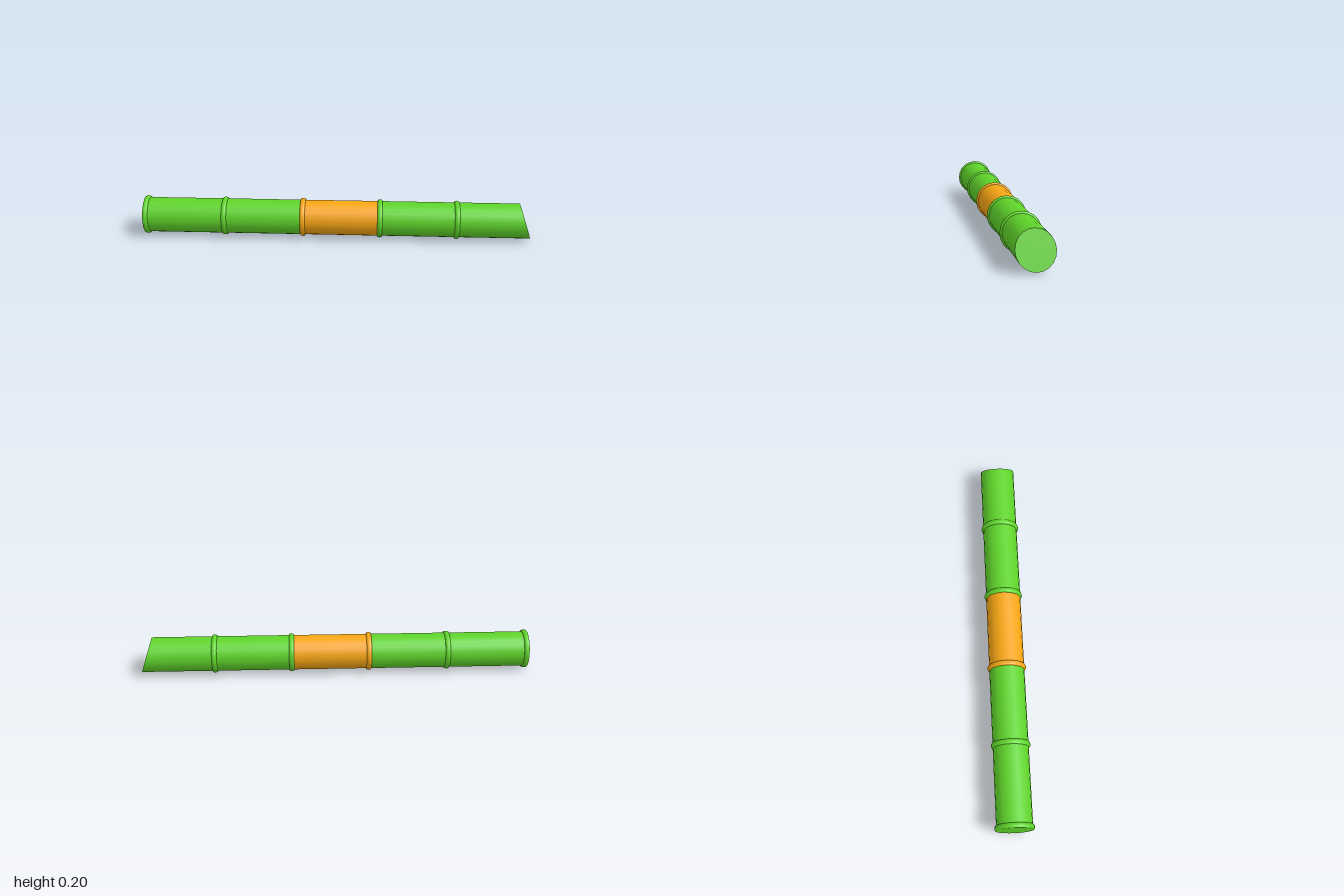
import * as THREE from 'three';

const SIDES = 20, R = 0.09, RING_R = 0.099, RING_W = 0.026, AXIS_Y = 0.1;
const CUT_TOP = 0.94, CUT_BOTTOM = 1;

const green = new THREE.MeshStandardMaterial({ color: 0x5fd42a });
const orange = new THREE.MeshStandardMaterial({ color: 0xf7a614 });

// surface of revolution around the x axis from [x, radius] pairs
function turned(pairs) {
  const points = pairs.map(([x, r]) => new THREE.Vector2(r, x));
  return new THREE.LatheGeometry(points, SIDES).rotateZ(-Math.PI / 2);
}

// slide the vertices at the far end onto the slanted cutting plane
function slantEnd(geometry) {
  const p = geometry.attributes.position;
  for (let i = 0; i < p.count; i++) {
    if (p.getX(i) < CUT_TOP - 0.001) continue;
    const t = (R - p.getY(i)) / (2 * R);
    p.setX(i, CUT_TOP + t * (CUT_BOTTOM - CUT_TOP));
  }
  return geometry;
}

export function createModel() {
  const group = new THREE.Group();
  const add = (name, geometry, material) => {
    const mesh = new THREE.Mesh(geometry, material);
    mesh.name = name;
    mesh.position.y = AXIS_Y;
    group.add(mesh);
  };

  // stalk sections, each starting with a raised node ring
  const starts = [-1, -0.593, -0.188, 0.21, 0.605];
  starts.forEach((x, i) => {
    const material = i === 2 ? orange : green;
    const last = i === starts.length - 1;
    const tube = turned([[x, R], [last ? CUT_TOP : starts[i + 1], R]]);
    add('section' + (i + 1), last ? slantEnd(tube) : tube, material);

    const w = RING_W;
    add('nodeRing' + (i + 1), turned([
      [x, R], [x + w * 0.04, 0.095], [x + w * 0.25, RING_R - 0.001], [x + w * 0.5, RING_R],
      [x + w * 0.75, RING_R - 0.001], [x + w * 0.96, 0.095], [x + w, R],
    ]), material);
  });

  // flat base cap
  const base = new THREE.CircleGeometry(R, SIDES).rotateY(-Math.PI / 2).translate(-1, 0, 0);
  add('baseCap', base, green);

  // slanted tip cap
  const tip = slantEnd(new THREE.CircleGeometry(R, SIDES).rotateY(Math.PI / 2).translate(CUT_TOP, 0, 0));
  tip.computeVertexNormals();
  add('tipCap', tip, green);

  return group;
}
